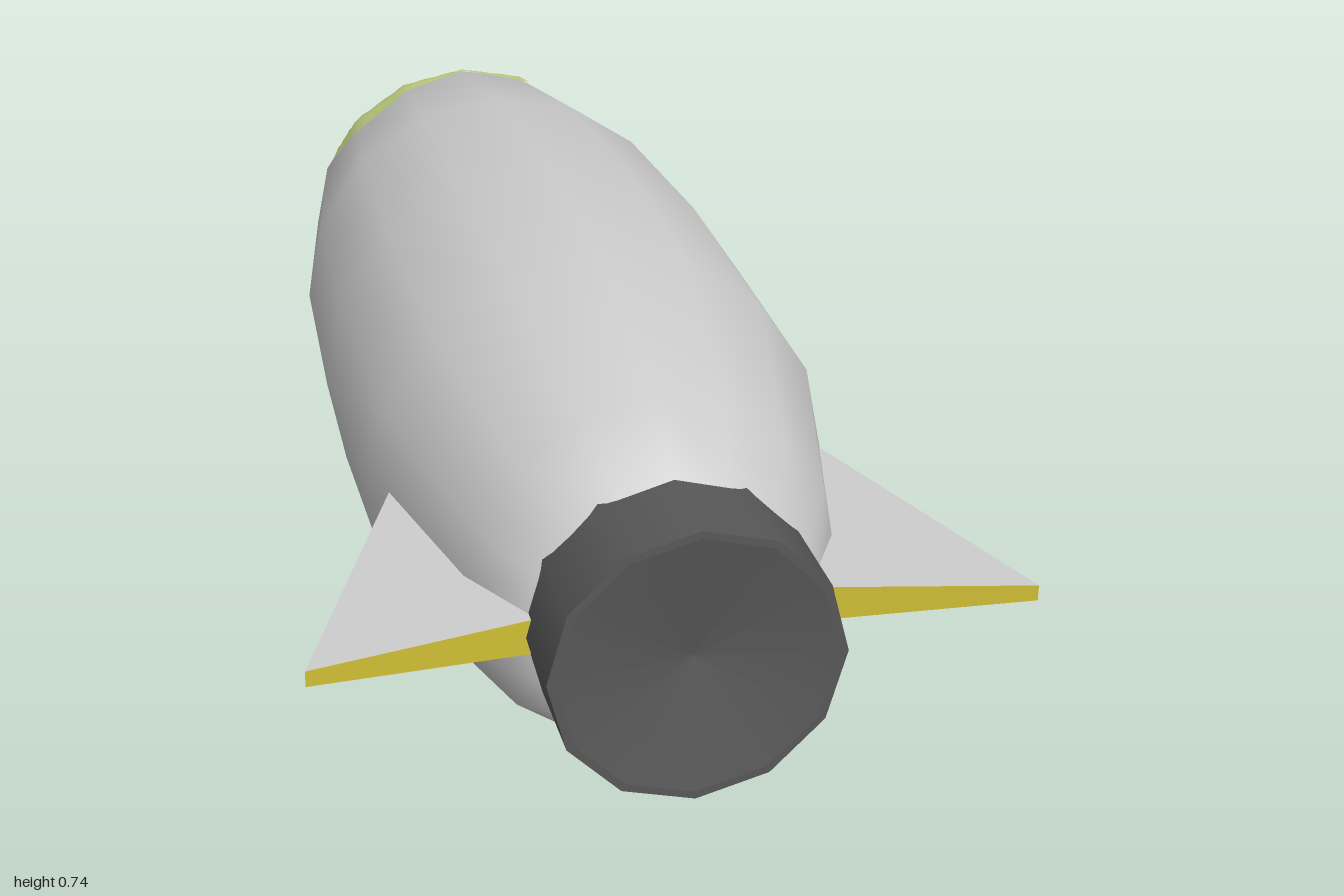
import * as THREE from 'three';

const CY = 0.374; // height of the long axis
const SIDES = 16;
// Hull profile: [z, radius] from nose to tail
const HULL = [[-1, 0], [-0.995, 0.035], [-0.92, 0.145], [-0.71, 0.285], [-0.37, 0.35],
  [0, 0.372], [0.4, 0.368], [0.73, 0.285], [0.85, 0.217], [0.93, 0]];

const mat = (color, side = THREE.FrontSide) => new THREE.MeshStandardMaterial({ color, side });

function named(name, geometry, material) {
  const mesh = new THREE.Mesh(geometry, material);
  mesh.name = name;
  return mesh;
}

// Lathe whose axis lies along z
function latheZ(profile, sides) {
  const g = new THREE.LatheGeometry(profile.map(([z, r]) => new THREE.Vector2(r, z)), sides);
  return g.rotateX(Math.PI / 2);
}

// Radius of the faceted hull at a given z and angle from the top
function hullRadius(z, angle) {
  let i = 1;
  while (i < HULL.length - 1 && HULL[i][0] < z) i++;
  const [z0, r0] = HULL[i - 1], [z1, r1] = HULL[i];
  const r = r0 + (r1 - r0) * (z - z0) / (z1 - z0);
  const step = Math.PI * 2 / SIDES;
  const a = Math.abs(angle) % step;
  return r * Math.cos(step / 2) / Math.cos(a - step / 2);
}

// Window patch that follows the hull between a front and a rear edge curve
function windowGeometry() {
  const corner = 0.755, end = 1.075, nu = 32, nv = 14;
  const lerp = THREE.MathUtils.lerp;
  const pos = [], idx = [];
  for (let i = 0; i <= nu; i++) {
    const t = (i / nu) * 2 - 1;
    const a = t * end, m = Math.abs(a);
    const k = m < corner ? m / corner : (m - corner) / (end - corner);
    const front = m < corner ? lerp(-0.9, -0.85, k) : lerp(-0.85, -0.68, k);
    const rear = m < corner ? lerp(-0.69, -0.605, k) : lerp(-0.605, -0.68, k);
    for (let j = 0; j <= nv; j++) {
      const z = lerp(front, rear, j / nv);
      const r = hullRadius(z, a) + 0.004;
      pos.push(Math.sin(a) * r, Math.cos(a) * r, z);
      if (i < nu && j < nv) {
        const p = i * (nv + 1) + j, q = p + nv + 1;
        idx.push(p, p + 1, q, q, p + 1, q + 1);
      }
    }
  }
  const g = new THREE.BufferGeometry();
  g.setAttribute('position', new THREE.Float32BufferAttribute(pos, 3));
  g.setIndex(idx);
  g.computeVertexNormals();
  return g;
}

// Fin corners: [x, z, half thickness] at leading root, tip and trailing root
const FIN = [[0.25, 0.25, 0.047], [0.536, 0.91, 0.0125], [0.1, 0.856, 0.033]];

function triangles(points) {
  const g = new THREE.BufferGeometry();
  g.setAttribute('position', new THREE.Float32BufferAttribute(points.flat(), 3));
  g.computeVertexNormals();
  return g;
}

function makeFin(name, grey, gold) {
  const fin = new THREE.Group();
  fin.name = name;
  const up = FIN.map(([x, z, h]) => [x, h, z]);
  const down = FIN.map(([x, z, h]) => [x, -h, z]);
  const [a, b, c] = up, [d, e, f] = down;
  fin.add(named('finSurfaces', triangles([a, c, b, d, e, f]), grey));
  // Leading and trailing edges
  fin.add(named('finEdges', triangles([a, b, e, a, e, d, b, c, f, b, f, e]), gold));
  return fin;
}

export function createModel() {
  const model = new THREE.Group();
  model.name = 'rocket';
  const craft = new THREE.Group();
  craft.name = 'craft';
  craft.position.y = CY;
  model.add(craft);

  const grey = mat(0xcccccc);
  const gold = mat(0xd0bf35);
  const dark = mat(0x585858, THREE.DoubleSide);

  craft.add(named('hull', latheZ(HULL, SIDES), grey));
  craft.add(named('window', windowGeometry(), mat(0xc5d484)));

  // Engine nozzle: wall, narrow rim and shallow dish
  const nozzle = new THREE.Group();
  nozzle.name = 'nozzle';
  nozzle.add(named('nozzleWall', latheZ([[0.8, 0.217], [1, 0.217]], 12), dark));
  nozzle.add(named('nozzleRim', latheZ([[1, 0.217], [1, 0.205]], 12), dark));
  nozzle.add(named('nozzleDish', latheZ([[1, 0.205], [0.965, 0]], 12), dark));
  craft.add(nozzle);

  // Side fins, the second turned half a revolution about the long axis
  craft.add(makeFin('leftFin', grey, gold));
  const right = makeFin('rightFin', grey, gold);
  right.rotation.z = Math.PI;
  craft.add(right);

  return model;
}
